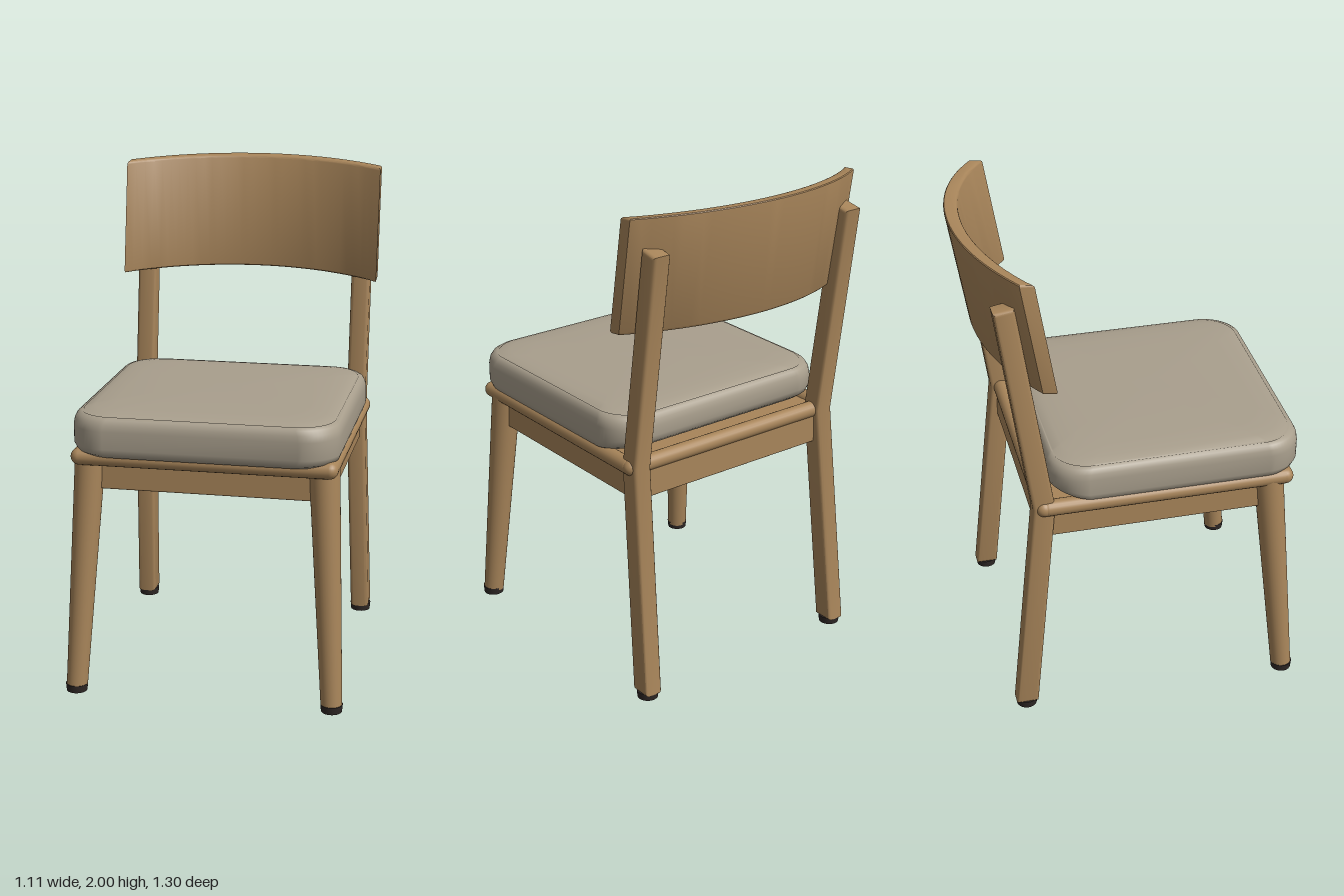
import * as THREE from 'three';
import { toCreasedNormals } from 'three/addons/utils/BufferGeometryUtils.js';
import { RoundedBoxGeometry } from 'three/addons/geometries/RoundedBoxGeometry.js';

const wood = new THREE.MeshStandardMaterial({ color: 0xa8855a });
wood.name = 'wood';
const fabric = new THREE.MeshStandardMaterial({ color: 0xa99f8d });
fabric.name = 'fabric';
const rubber = new THREE.MeshStandardMaterial({ color: 0x2e2725 });
rubber.name = 'rubber';

const V = (x, y, z) => new THREE.Vector3(x, y, z);

function part(group, name, geometry, material, position) {
  const mesh = new THREE.Mesh(geometry, material);
  mesh.name = name;
  if (position) mesh.position.copy(position);
  group.add(mesh);
  return mesh;
}

// Straight round member between two points
function between(mesh, a, b) {
  mesh.position.copy(a).add(b).multiplyScalar(0.5);
  mesh.quaternion.setFromUnitVectors(V(0, 1, 0), b.clone().sub(a).normalize());
}

// Bent square back leg, splaying outwards below the seat
function backLegGeometry(side) {
  const outline = [[0.445, 0.025], [0.535, 0.025], [0.44, 0.97], [0.565, 1.85], [0.485, 1.865], [0.352, 0.97]];
  const shape = new THREE.Shape(outline.map(([u, y]) => new THREE.Vector2(u, y)));
  const bevel = 0.014, width = 0.078;
  const geo = new THREE.ExtrudeGeometry(shape, {
    depth: width - 2 * bevel, bevelThickness: bevel, bevelSize: bevel, bevelOffset: -bevel, bevelSegments: 3,
  });
  geo.translate(0, 0, bevel - width / 2).rotateY(Math.PI / 2);
  const p = geo.attributes.position;
  for (let i = 0; i < p.count; i++) {
    const splay = 0.024 * Math.max(0, 1 - p.getY(i) / 0.97);
    p.setX(i, p.getX(i) + side * (0.463 + splay));
  }
  return toCreasedNormals(geo, 0.6);
}

// Curved back panel, leaning backwards
function backrestGeometry() {
  const half = 0.54, sag = 0.175, thick = 0.055, bevel = 0.01, n = 32;
  const R = (half * half + sag * sag) / (2 * sag);
  const arc = (x) => Math.sqrt(R * R - x * x) - R;
  const front = [], back = [];
  for (let i = 0; i <= n; i++) {
    const x = half * (2 * i / n - 1);
    front.push(new THREE.Vector2(x, arc(x)));
    back.unshift(new THREE.Vector2(x, arc(x) + thick));
  }
  const geo = new THREE.ExtrudeGeometry(new THREE.Shape([...front, ...back]), {
    depth: 0.465 - 2 * bevel, bevelThickness: bevel, bevelSize: bevel, bevelOffset: -bevel, bevelSegments: 3,
  });
  geo.translate(0, 0, bevel);
  const lean = new THREE.Matrix4().makeBasis(V(1, 0, 0), V(0, 0.11, -1), V(0, 1, -0.165));
  lean.setPosition(0, 1.529, -0.517);
  geo.applyMatrix4(lean);
  return toCreasedNormals(geo, 0.6);
}

// Soft cushion lofted from rounded rectangles: [inset, height]
function cushionGeometry() {
  const hx = 0.522, hz = 0.507, cz = 0.142, perCorner = 14;
  const profile = [[0.4, 0.972], [0.07, 0.972], [0.03, 0.98], [0.01, 0.994], [0, 1.02], [0, 1.09], [0.004, 1.115],
    [0.013, 1.133], [0.026, 1.143], [0.03, 1.139], [0.034, 1.145], [0.07, 1.152], [0.14, 1.157], [0.3, 1.16], [0.49, 1.16]];
  const pos = [], index = [];
  const count = 4 * (perCorner + 1);
  for (const [inset, y] of profile) {
    const ax = hx - inset, az = hz - inset;
    const r = Math.min(0.145 - inset * 0.2, ax, az);
    for (let c = 0; c < 4; c++) {
      const sx = c === 0 || c === 3 ? 1 : -1, sz = c < 2 ? 1 : -1;
      for (let k = 0; k <= perCorner; k++) {
        const a = (c + k / perCorner) * Math.PI / 2;
        const z = cz + sz * (az - r) + r * Math.sin(a);
        // underside lifts towards the back
        const lift = y < 1.03 ? 0.03 * THREE.MathUtils.smoothstep(-z, 0.18, 0.37) : 0;
        pos.push(sx * (ax - r) + r * Math.cos(a), y + lift, z);
      }
    }
  }
  const rings = profile.length;
  for (let j = 0; j < rings - 1; j++) {
    for (let i = 0; i < count; i++) {
      const a = j * count + i, b = j * count + (i + 1) % count;
      index.push(a, a + count, b, b, a + count, b + count);
    }
  }
  // caps
  const top = (rings - 1) * count;
  for (let i = 1; i < count - 1; i++) {
    index.push(0, i, i + 1);
    index.push(top, top + i + 1, top + i);
  }
  const geo = new THREE.BufferGeometry();
  geo.setAttribute('position', new THREE.Float32BufferAttribute(pos, 3));
  geo.setIndex(index);
  geo.computeVertexNormals();
  return geo;
}

export function createModel() {
  const chair = new THREE.Group();
  chair.name = 'chair';

  for (const side of [1, -1]) {
    const label = side > 0 ? 'left' : 'right';

    // Tapered round front leg
    const foot = V(side * 0.512, 0.022, 0.601), head = V(side * 0.46, 0.965, 0.518);
    const leg = part(chair, label + 'FrontLeg',
      new THREE.CylinderGeometry(0.06, 0.042, foot.distanceTo(head), 32), wood);
    between(leg, foot, head);

    part(chair, label + 'BackLeg', backLegGeometry(side), wood);

    // Foot pads
    const pad = new THREE.CylinderGeometry(0.044, 0.041, 0.03, 28);
    part(chair, label + 'FrontFootPad', pad, rubber, V(side * 0.513, 0.015, 0.602));
    part(chair, label + 'BackFootPad', pad, rubber, V(side * 0.486, 0.015, -0.49));

    // Side apron and round side rail
    part(chair, label + 'SideApron', new RoundedBoxGeometry(0.045, 0.125, 0.88, 2, 0.006), wood, V(side * 0.46, 0.892, 0.06));
    const rail = part(chair, label + 'SideRail', new THREE.CapsuleGeometry(0.033, 0.955, 8, 20), wood);
    between(rail, V(side * 0.488, 0.968, -0.38), V(side * 0.488, 0.968, 0.578));
  }

  // Front and back aprons with round rails above
  for (const [label, apronZ, railZ] of [['front', 0.52, 0.578], ['back', -0.395, -0.396]]) {
    part(chair, label + 'Apron', new RoundedBoxGeometry(0.88, 0.125, 0.045, 2, 0.006), wood, V(0, 0.892, apronZ));
    const rail = part(chair, label + 'Rail', new THREE.CapsuleGeometry(0.033, 0.976, 8, 20), wood);
    between(rail, V(-0.488, 0.968, railZ), V(0.488, 0.968, railZ));
  }

  part(chair, 'seatPanel', new THREE.BoxGeometry(0.96, 0.03, 0.95), wood, V(0, 0.962, 0.09));
  part(chair, 'seatCushion', cushionGeometry(), fabric);
  part(chair, 'backrest', backrestGeometry(), wood);
  return chair;
}
